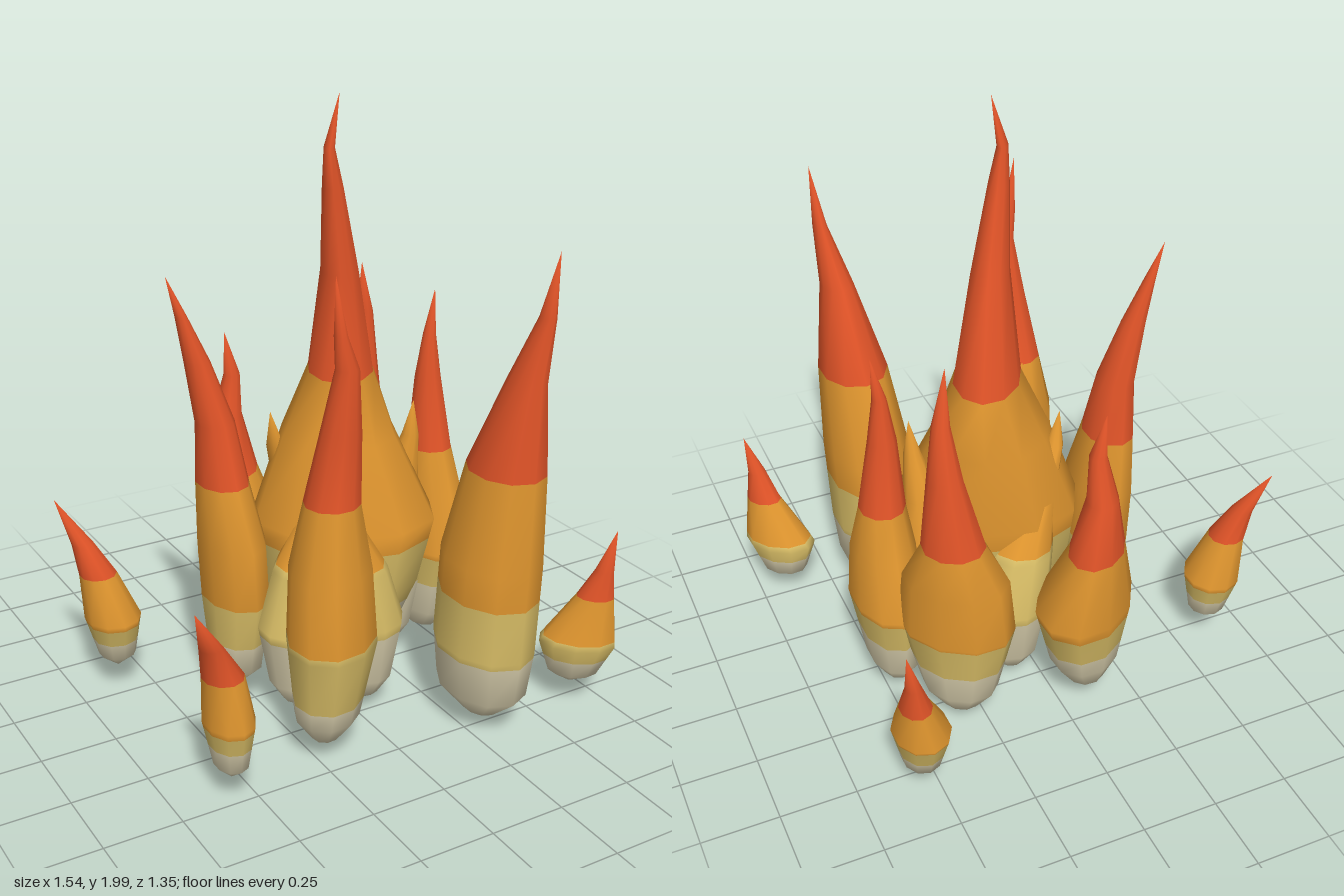
import * as THREE from 'three';
import { mergeVertices } from 'three/addons/utils/BufferGeometryUtils.js';

const SIDES = 10;

function material(name, color) {
  const m = new THREE.MeshStandardMaterial({ color });
  m.name = name;
  return m;
}

// Linear blend of the stations [y, x, z, long radius, short radius] at height y
function stationAt(stations, y) {
  let i = 0;
  while (i < stations.length - 2 && stations[i + 1][0] < y) i++;
  const a = stations[i], b = stations[i + 1];
  const t = (y - a[0]) / (b[0] - a[0]);
  return a.map((v, k) => v + (b[k] - v) * t);
}

// One flame tongue: oval rings turned by spin, lofted along the stations, coloured in height bands
function flame(name, bands, stations, materials, spin) {
  const heights = stations.map((s) => s[0]);
  const top = heights[heights.length - 1];
  for (const h of bands) if (h < top && !heights.includes(h)) heights.push(h);
  heights.sort((a, b) => a - b);

  const positions = [];
  const cs = Math.cos(spin), sn = Math.sin(spin);
  for (const y of heights) {
    const [, x, z, ru, rv] = stationAt(stations, y);
    for (let j = 0; j < SIDES; j++) {
      const a = (j / SIDES) * Math.PI * 2 + 0.3;
      const u = Math.cos(a) * ru * 1.025, v = Math.sin(a) * rv * 1.025;
      positions.push(x + cs * u - sn * v, y, z + sn * u + cs * v);
    }
  }

  const geometry = new THREE.BufferGeometry();
  const index = [];
  for (let i = 0; i < heights.length - 1; i++) {
    const start = index.length;
    for (let j = 0; j < SIDES; j++) {
      const k = (j + 1) % SIDES;
      const a = i * SIDES + j, b = i * SIDES + k;
      const c = a + SIDES, d = b + SIDES;
      index.push(a, c, b, b, c, d);
    }
    const middle = (heights[i] + heights[i + 1]) / 2;
    geometry.addGroup(start, index.length - start, bands.filter((h) => h < middle).length);
  }
  geometry.setAttribute('position', new THREE.Float32BufferAttribute(positions, 3));
  geometry.setIndex(index);
  // Weld the end points so the bottoms shade round
  const welded = mergeVertices(geometry);
  welded.computeVertexNormals();
  const mesh = new THREE.Mesh(welded, materials);
  mesh.name = name;
  return mesh;
}

export function createModel() {
  const group = new THREE.Group();
  group.name = 'fire';
  const materials = [
    material('cream', 0xdad0ae),
    material('yellow', 0xd8bd66),
    material('orange', 0xe0962f),
    material('red', 0xe25428),
  ];
  const add = (name, bands, stations, spin = 0) => group.add(flame(name, bands, stations, materials, spin));

  // Tall flame in the middle
  add('centreFlame', [0.33, 0.55, 1.11], [
    [0.01, 0.04, 0.04, 0, 0], [0.05, 0.04, 0.03, 0.09, 0.08], [0.2, 0.05, 0.02, 0.18, 0.16],
    [0.4, 0.07, 0.01, 0.26, 0.21], [0.62, 0.085, 0.01, 0.3, 0.23], [0.9, 0.08, -0.02, 0.185, 0.205],
    [1.11, 0.095, -0.03, 0.105, 0.16], [1.45, 0.06, 0.02, 0.06, 0.085], [1.72, 0.02, 0.045, 0.033, 0.048],
    [1.84, 0.005, 0.05, 0.017, 0.03], [2, 0.04, 0.05, 0, 0],
  ], 0.5);

  // Ring of large flames
  add('frontLeftFlame', [0.28, 0.48, 0.9], [
    [0.04, 0.32, 0.48, 0, 0], [0.06, 0.32, 0.48, 0.05, 0.07], [0.14, 0.33, 0.47, 0.125, 0.17],
    [0.3, 0.33, 0.475, 0.14, 0.19], [0.6, 0.34, 0.485, 0.14, 0.185], [0.9, 0.36, 0.515, 0.112, 0.14],
    [1.2, 0.38, 0.572, 0.053, 0.068], [1.4, 0.41, 0.615, 0.022, 0.03], [1.6, 0.425, 0.64, 0, 0],
  ]);
  add('frontRightFlame', [0.21, 0.42, 0.87], [
    [0.05, -0.22, 0.4, 0, 0], [0.08, -0.21, 0.4, 0.055, 0.045], [0.15, -0.2, 0.39, 0.12, 0.1],
    [0.4, -0.18, 0.385, 0.18, 0.138], [0.65, -0.185, 0.385, 0.165, 0.125], [0.87, -0.195, 0.41, 0.085, 0.085],
    [1.1, -0.18, 0.435, 0.06, 0.06], [1.3, -0.178, 0.465, 0.035, 0.035], [1.4, -0.2, 0.465, 0.02, 0.02],
    [1.58, -0.22, 0.47, 0, 0],
  ], -0.9);
  add('rightFlame', [0.25, 0.4, 0.8], [
    [0.06, -0.3, -0.03, 0, 0], [0.15, -0.3, -0.03, 0.08, 0.1], [0.4, -0.3, -0.03, 0.1, 0.15],
    [0.6, -0.31, -0.03, 0.1, 0.15], [0.8, -0.33, -0.045, 0.08, 0.105], [1, -0.345, -0.055, 0.06, 0.07],
    [1.2, -0.395, -0.065, 0.04, 0.04], [1.35, -0.44, -0.075, 0.018, 0.02], [1.48, -0.485, -0.08, 0, 0],
  ]);
  add('backFlame', [0.25, 0.36, 0.65], [
    [0.07, -0.1, -0.4, 0, 0], [0.1, -0.1, -0.39, 0.07, 0.06], [0.18, -0.1, -0.37, 0.135, 0.11],
    [0.4, -0.1, -0.36, 0.205, 0.15], [0.65, -0.105, -0.425, 0.12, 0.085], [0.85, -0.11, -0.44, 0.055, 0.05],
    [1, -0.1, -0.42, 0.028, 0.028], [1.15, -0.12, -0.43, 0, 0],
  ], -0.8);
  add('backLeftFlame', [0.26, 0.39, 0.75], [
    [0.04, 0.32, -0.32, 0, 0], [0.07, 0.32, -0.315, 0.06, 0.05], [0.15, 0.32, -0.31, 0.125, 0.1],
    [0.4, 0.325, -0.305, 0.19, 0.135], [0.6, 0.33, -0.32, 0.17, 0.13], [0.75, 0.345, -0.345, 0.1, 0.09],
    [1, 0.365, -0.34, 0.055, 0.05], [1.18, 0.365, -0.32, 0.028, 0.025], [1.36, 0.34, -0.3, 0, 0],
  ], 0.8);
  add('leftFlame', [0.27, 0.38, 0.75], [
    [0.05, 0.46, -0.09, 0, 0], [0.08, 0.465, -0.085, 0.045, 0.07], [0.15, 0.47, -0.08, 0.08, 0.13],
    [0.4, 0.48, -0.07, 0.11, 0.18], [0.6, 0.48, -0.07, 0.1, 0.13], [0.75, 0.475, -0.07, 0.073, 0.08],
    [1, 0.465, -0.075, 0.045, 0.042], [1.15, 0.465, -0.07, 0.022, 0.022], [1.3, 0.49, -0.08, 0, 0],
  ]);

  // Small flames tucked against the middle one: base x, z and tip x, z
  const inner = [[0.04, 0.22, -0.13, 0.2], [0.29, -0.05, 0.34, 0.03], [0.09, -0.2, -0.12, -0.11], [-0.17, 0.15, 0.03, 0.08]];
  inner.forEach(([x, z, tx, tz], i) => {
    const at = (y, t, r) => [y, x + (tx - x) * t, z + (tz - z) * t, r, r];
    add('innerFlame' + (i + 1), [0.31, 0.54], [
      at(0.04, 0, 0), at(0.07, 0, 0.045), at(0.14, 0, 0.09), at(0.34, 0, 0.125),
      at(0.52, 0.2, 0.105), at(0.7, 0.55, 0.06), at(0.85, 0.9, 0.028), at(0.97, 1, 0),
    ]);
  });

  // Small outlying sparks
  add('frontRightSpark', [0.2, 0.26, 0.43], [
    [0.08, -0.57, 0.46, 0, 0], [0.13, -0.57, 0.46, 0.05, 0.065], [0.28, -0.575, 0.46, 0.075, 0.1],
    [0.43, -0.59, 0.46, 0.062, 0.07], [0.55, -0.64, 0.49, 0.035, 0.035], [0.71, -0.72, 0.56, 0, 0],
  ]);
  add('backRightSpark', [0.2, 0.26, 0.44], [
    [0.09, -0.61, -0.3, 0, 0], [0.14, -0.61, -0.3, 0.06, 0.06], [0.28, -0.62, -0.3, 0.09, 0.1],
    [0.44, -0.66, -0.31, 0.06, 0.06], [0.55, -0.7, -0.33, 0.035, 0.035], [0.7, -0.77, -0.38, 0, 0],
  ]);
  add('frontLeftSpark', [0.18, 0.25, 0.4], [
    [0.08, 0.65, 0.53, 0, 0], [0.12, 0.66, 0.53, 0.08, 0.06], [0.23, 0.665, 0.54, 0.125, 0.085],
    [0.4, 0.7, 0.575, 0.06, 0.045], [0.5, 0.71, 0.6, 0.03, 0.028], [0.64, 0.74, 0.615, 0, 0],
  ], 0.75);
  add('backLeftSpark', [0.18, 0.25, 0.39], [
    [0.08, 0.55, -0.55, 0, 0], [0.13, 0.55, -0.55, 0.06, 0.075], [0.26, 0.55, -0.56, 0.09, 0.11],
    [0.39, 0.575, -0.59, 0.05, 0.06], [0.5, 0.59, -0.62, 0.025, 0.028], [0.63, 0.61, -0.63, 0, 0],
  ]);

  return group;
}
